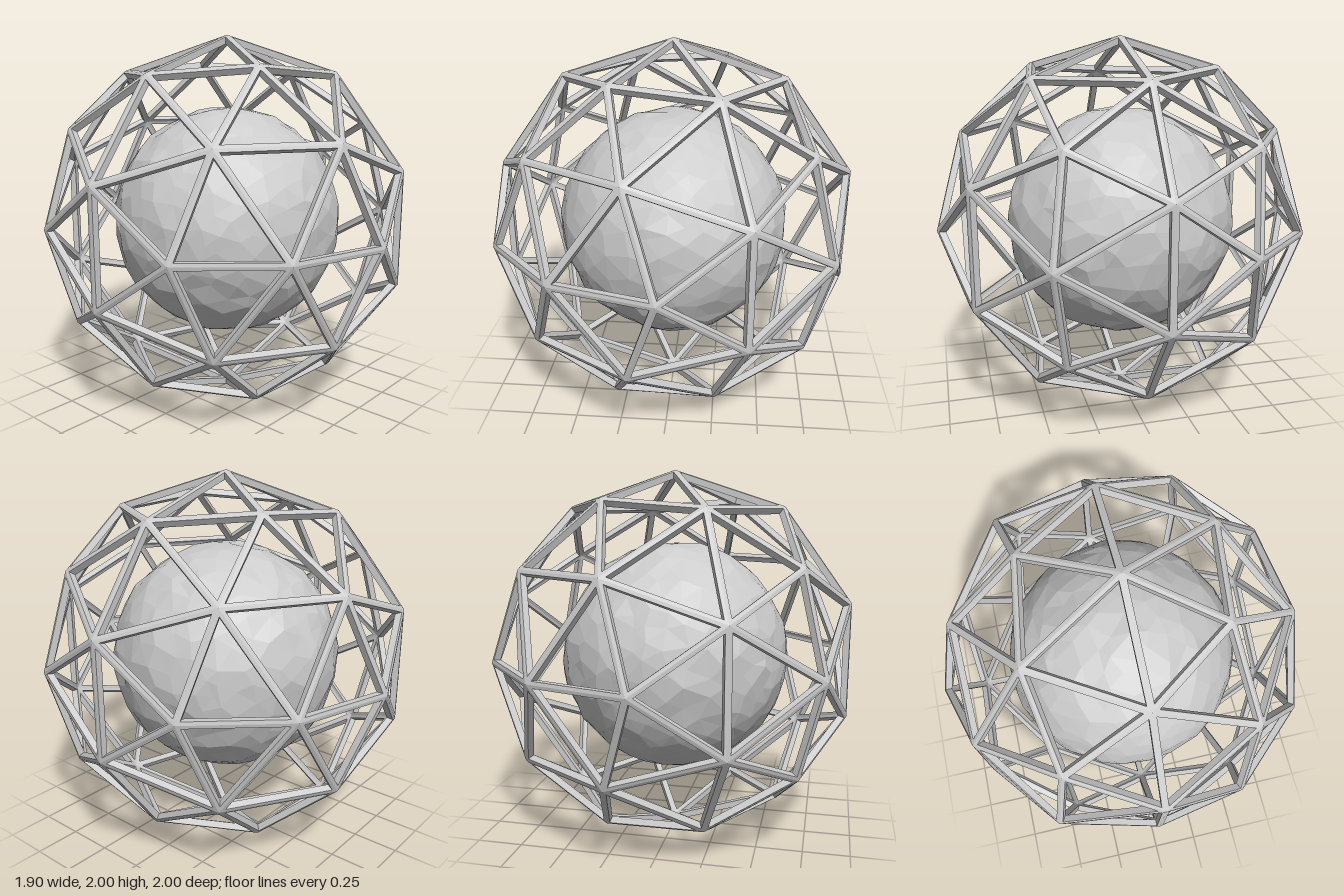
import * as THREE from 'three';

const STRUT_HALF_WIDTH = 0.018;
const STRUT_DEPTH = 0.036;

function makeMaterial() {
  return new THREE.MeshStandardMaterial({ color: 0xcccccc, flatShading: true });
}

// Open frame of struts: every triangle of a geodesic ball becomes a hollow rim
function latticeGeometry() {
  const ball = new THREE.IcosahedronGeometry(1, 1);
  // five-strut hubs sit on the z axis, a six-strut hub at the top
  ball.rotateX(Math.atan(2 / (1 + Math.sqrt(5)))).rotateZ(-Math.PI / 2);
  const pos = ball.attributes.position;
  const out = [];
  const quad = (a, b, c, d) => {
    for (const p of [a, b, c, a, c, d]) out.push(p.x, p.y, p.z);
  };
  const inward = (p) => p.clone().multiplyScalar(1 - STRUT_DEPTH);

  for (let f = 0; f < pos.count; f += 3) {
    const corner = [0, 1, 2].map((k) => new THREE.Vector3().fromBufferAttribute(pos, f + k));
    // corners of the opening, a strut's half width from both edges
    const hole = corner.map((p, k) => {
      const u = corner[(k + 1) % 3].clone().sub(p).normalize();
      const v = corner[(k + 2) % 3].clone().sub(p).normalize();
      const reach = STRUT_HALF_WIDTH / Math.sin(u.angleTo(v));
      return u.add(v).multiplyScalar(reach).add(p);
    });
    for (let k = 0; k < 3; k++) {
      const n = (k + 1) % 3;
      const [a, b, qa, qb] = [corner[k], corner[n], hole[k], hole[n]];
      quad(a, b, qb, qa); // outer face
      quad(qa, qb, inward(qb), inward(qa)); // side wall
      quad(inward(qa), inward(qb), inward(b), inward(a)); // inner face
    }
  }
  const geo = new THREE.BufferGeometry();
  geo.setAttribute('position', new THREE.Float32BufferAttribute(out, 3));
  geo.computeVertexNormals();
  return geo;
}

// Rough faceted ball: vertices shifted by a hash of their place, so seams stay shut
function coreGeometry() {
  const geo = new THREE.IcosahedronGeometry(1, 6);
  const pos = geo.attributes.position;
  const p = new THREE.Vector3();
  const hash = (q, seed) => {
    const [x, y, z] = [q.x, q.y, q.z].map((c) => Math.round(c * 1000));
    const s = Math.sin(x * 0.129 + y * 0.782 + z * 0.377 + seed * 37.7) * 43758.5;
    return (s - Math.floor(s)) * 2 - 1;
  };
  for (let i = 0; i < pos.count; i++) {
    p.fromBufferAttribute(pos, i);
    const radius = 0.62 + 0.008 * hash(p, 1);
    const shift = new THREE.Vector3(hash(p, 2), hash(p, 3), hash(p, 4)).multiplyScalar(0.045);
    p.add(shift).setLength(radius);
    pos.setXYZ(i, p.x, p.y, p.z);
  }
  geo.computeVertexNormals();
  return geo;
}

export function createModel() {
  const model = new THREE.Group();
  model.name = 'latticeSphere';

  const lattice = new THREE.Mesh(latticeGeometry(), makeMaterial());
  lattice.name = 'geodesicLattice';

  const core = new THREE.Mesh(coreGeometry(), makeMaterial());
  core.name = 'core';

  for (const part of [lattice, core]) {
    part.position.y = 1;
    model.add(part);
  }
  return model;
}
